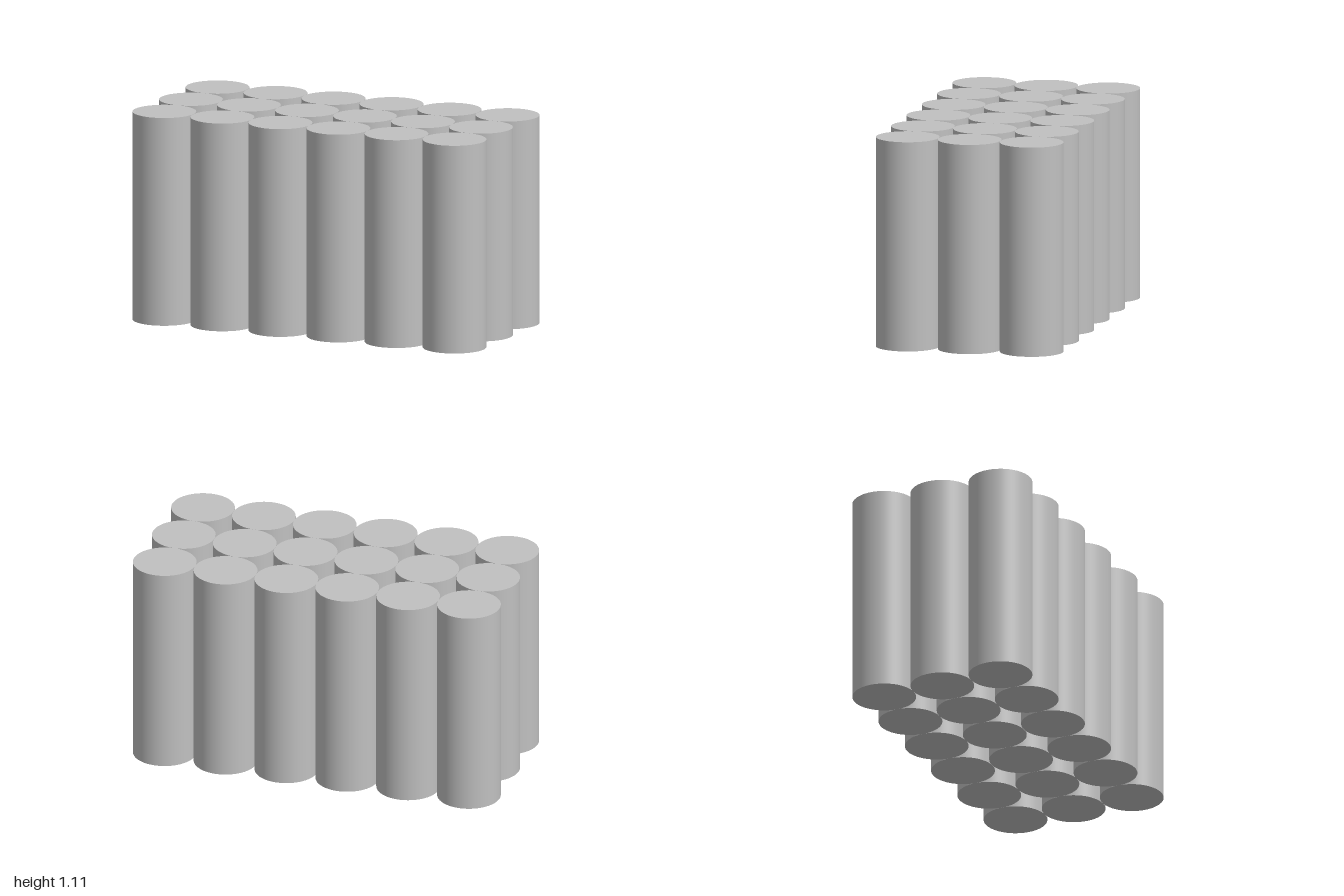
import * as THREE from 'three';

// A block of upright cylindrical cells packed in a 6 x 3 grid, touching side by side.
export function createModel() {
  const model = new THREE.Group();
  model.name = 'cylinderPack';

  const columns = 6, rows = 3;
  const radius = 1 / columns;
  const height = 1.11;

  const grey = new THREE.MeshStandardMaterial({ color: 0xc0c0c0 });
  grey.name = 'light grey';

  // One capped cylinder shared by every cell
  const cellGeometry = new THREE.CylinderGeometry(radius, radius, height, 64);
  cellGeometry.translate(0, height / 2, 0);

  for (let row = 0; row < rows; row++) {
    for (let column = 0; column < columns; column++) {
      const cell = new THREE.Mesh(cellGeometry, grey);
      cell.name = `cell row ${row + 1} column ${column + 1}`;
      cell.position.set(
        (column - (columns - 1) / 2) * 2 * radius,
        0,
        (row - (rows - 1) / 2) * 2 * radius
      );
      model.add(cell);
    }
  }
  return model;
}
